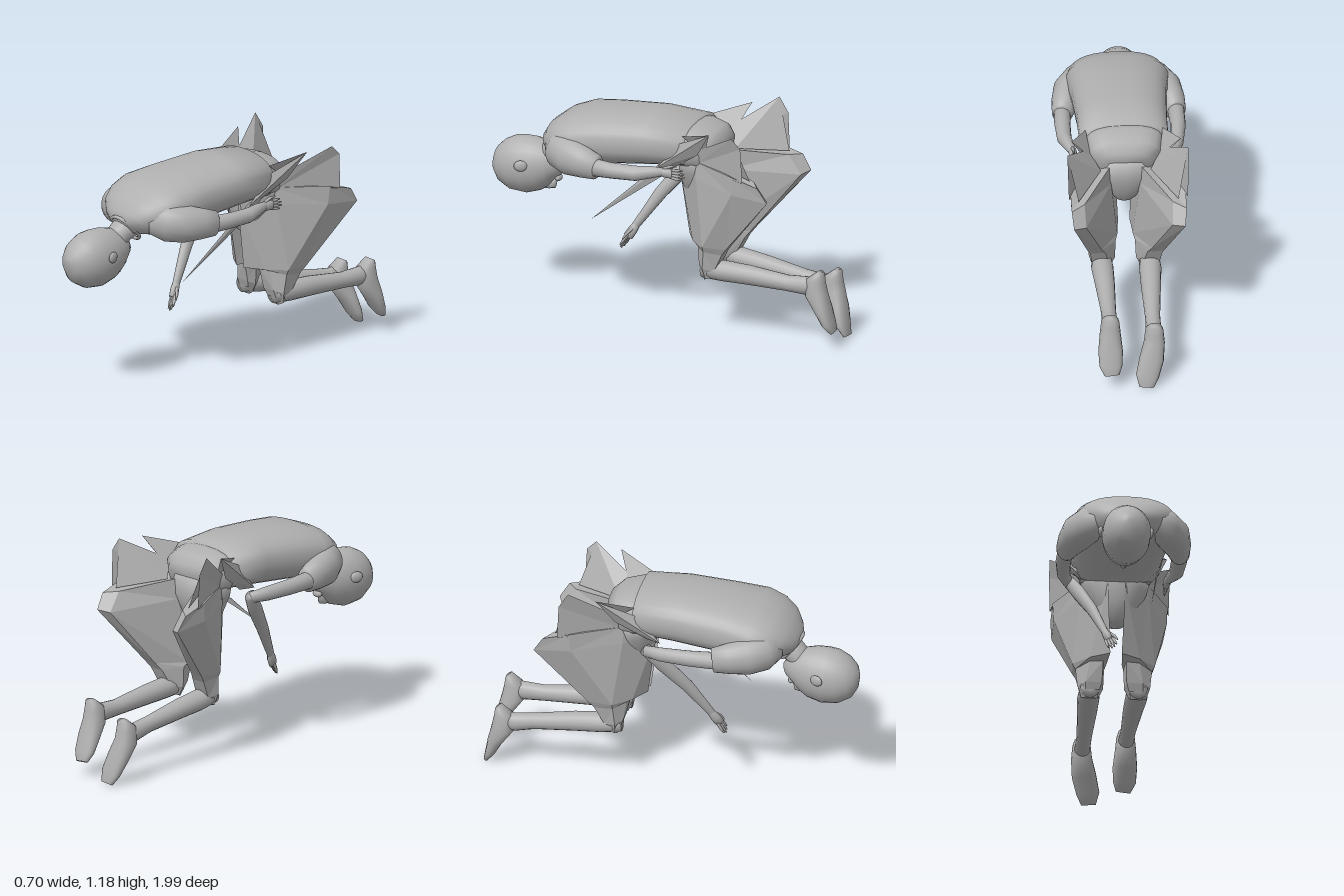
import * as THREE from 'three';

const grey = new THREE.MeshStandardMaterial({ color: 0xb0b0b0, side: THREE.DoubleSide });
grey.name = 'plain grey';

function addMesh(parent, name, geometry) {
  const mesh = new THREE.Mesh(geometry, grey);
  mesh.name = name;
  parent.add(mesh);
  return mesh;
}

// Smooth body through sections [x, y, z, halfWidth, halfHeight]; a power below 1 is boxier
function loft(sections, sides = 20, power = 1) {
  const pos = [], idx = [];
  const centres = sections.map((s) => new THREE.Vector3(s[0], s[1], s[2]));
  const n = sections.length;
  const bend = (v) => Math.sign(v) * Math.abs(v) ** power;
  sections.forEach((s, k) => {
    const t = centres[Math.min(k + 1, n - 1)].clone().sub(centres[Math.max(k - 1, 0)]).normalize();
    const u = new THREE.Vector3(1, 0, 0).addScaledVector(t, -t.x).normalize();
    const v = t.clone().cross(u);
    for (let i = 0; i < sides; i++) {
      const a = (i / sides) * Math.PI * 2;
      const p = centres[k].clone().addScaledVector(u, bend(Math.cos(a)) * s[3]).addScaledVector(v, bend(Math.sin(a)) * s[4]);
      pos.push(p.x, p.y, p.z);
    }
  });
  for (let k = 0; k < n - 1; k++) {
    for (let i = 0; i < sides; i++) {
      const a = k * sides + i, b = k * sides + ((i + 1) % sides);
      idx.push(a, b, b + sides, a, b + sides, a + sides);
    }
  }
  const first = n * sides, last = first + 1;
  pos.push(...centres[0].toArray(), ...centres[n - 1].toArray());
  for (let i = 0; i < sides; i++) {
    const j = (i + 1) % sides, o = (n - 1) * sides;
    idx.push(first, j, i, last, o + i, o + j);
  }
  const g = new THREE.BufferGeometry();
  g.setAttribute('position', new THREE.Float32BufferAttribute(pos, 3));
  g.setIndex(idx);
  g.computeVertexNormals();
  return g;
}

// Faceted solid through rings of matching corners, closed at both ends
function faceted(rings) {
  const pos = [];
  const tri = (...p) => p.forEach((q) => pos.push(...q));
  for (let k = 0; k < rings.length - 1; k++) {
    const a = rings[k], b = rings[k + 1];
    a.forEach((_, i) => {
      const j = (i + 1) % a.length;
      tri(a[i], a[j], b[j]);
      tri(a[i], b[j], b[i]);
    });
  }
  const fan = (r) => { for (let i = 1; i < r.length - 1; i++) tri(r[0], r[i], r[i + 1]); };
  fan(rings[0]);
  if (rings.length > 1) fan(rings[rings.length - 1]);
  const g = new THREE.BufferGeometry();
  g.setAttribute('position', new THREE.Float32BufferAttribute(pos, 3));
  g.computeVertexNormals();
  return g;
}
const panel = (points) => faceted([points]);
const mirror = (points, s) => points.map(([x, y, z]) => [x * s, y, z]);

// Palm with four fingers and a thumb, from wrist along a direction
function addHand(parent, name, wrist, direction, across) {
  const group = new THREE.Group();
  group.name = name;
  const w = new THREE.Vector3(...wrist), d = new THREE.Vector3(...direction).normalize();
  const a = new THREE.Vector3(...across);
  const at = (along, side, rx, ry) => [...w.clone().addScaledVector(d, along).addScaledVector(a, side).toArray(), rx, ry];
  addMesh(group, 'palm', loft([at(-0.02, 0, 0.017, 0.019), at(0.03, 0, 0.022, 0.026), at(0.07, 0, 0.018, 0.026)], 10));
  for (let i = 0; i < 4; i++) {
    const s = (i - 1.5) * 0.014, len = 0.145 - Math.abs(i - 1.3) * 0.012;
    addMesh(group, 'finger', loft([at(0.06, s, 0.008, 0.008), at(0.1, s * 1.2, 0.008, 0.008), at(len, s * 1.3, 0.004, 0.004)], 6));
  }
  addMesh(group, 'thumb', loft([at(0.02, 0.02, 0.01, 0.01), at(0.06, 0.042, 0.008, 0.008), at(0.09, 0.046, 0.004, 0.004)], 6));
  parent.add(group);
}

function addHead(root) {
  const head = new THREE.Group();
  head.name = 'head';
  addMesh(head, 'skull', loft([
    [-0.03, 0.72, 1.0, 0.02, 0.02], [-0.03, 0.72, 0.985, 0.065, 0.07], [-0.03, 0.715, 0.95, 0.1, 0.115],
    [-0.03, 0.71, 0.89, 0.124, 0.147], [-0.03, 0.71, 0.82, 0.127, 0.155], [-0.03, 0.722, 0.75, 0.118, 0.143],
    [-0.03, 0.73, 0.69, 0.098, 0.116], [-0.03, 0.728, 0.645, 0.072, 0.082], [-0.03, 0.715, 0.61, 0.035, 0.04],
  ], 28));
  for (const s of [-1, 1]) {
    const ear = addMesh(head, 'ear', new THREE.SphereGeometry(1, 12, 8));
    ear.scale.set(0.014, 0.03, 0.036);
    ear.position.set(-0.03 + s * 0.127, 0.738, 0.8);
    ear.rotation.y = s * 0.35;
    const eye = addMesh(head, 'eye', new THREE.SphereGeometry(0.014, 10, 8));
    eye.position.set(-0.03 + s * 0.042, 0.606, 0.735);
  }
  addMesh(head, 'nose', loft([[-0.03, 0.602, 0.74, 0.009, 0.012], [-0.03, 0.61, 0.7, 0.014, 0.022], [-0.03, 0.62, 0.672, 0.02, 0.028], [-0.03, 0.645, 0.655, 0.012, 0.012]], 8));
  const lips = addMesh(head, 'lips', new THREE.SphereGeometry(1, 10, 8));
  lips.scale.set(0.03, 0.02, 0.018);
  lips.position.set(-0.03, 0.658, 0.638);
  addMesh(head, 'neck', loft([[-0.03, 0.75, 0.72, 0.07, 0.065], [-0.02, 0.82, 0.655, 0.068, 0.062], [0, 0.89, 0.57, 0.085, 0.075]], 18));
  root.add(head);
}

function addLeg(root, s) {
  const leg = new THREE.Group();
  leg.name = s > 0 ? 'leftLeg' : 'rightLeg';
  // Stiff trouser leg, a wedge running diagonally outwards to the back
  addMesh(leg, 'trouserLeg', faceted([
    mirror([[0.05, 0.94, -0.1], [0.17, 0.93, -0.23], [0.3, 0.92, -0.49], [0.3, 0.88, -0.63], [0.23, 0.89, -0.58], [0.08, 0.93, -0.3]], s),
    mirror([[0.045, 0.84, -0.08], [0.18, 0.84, -0.23], [0.295, 0.82, -0.48], [0.29, 0.8, -0.68], [0.225, 0.79, -0.65], [0.075, 0.82, -0.3]], s),
    mirror([[0.03, 0.48, -0.13], [0.13, 0.48, -0.19], [0.215, 0.48, -0.28], [0.205, 0.48, -0.41], [0.13, 0.48, -0.41], [0.04, 0.47, -0.25]], s),
    mirror([[0.06, 0.47, -0.21], [0.13, 0.47, -0.22], [0.2, 0.45, -0.28], [0.19, 0.44, -0.38], [0.11, 0.44, -0.38], [0.05, 0.45, -0.28]], s),
    mirror([[0.065, 0.36, -0.235], [0.15, 0.36, -0.235], [0.19, 0.35, -0.27], [0.175, 0.34, -0.33], [0.09, 0.34, -0.33], [0.055, 0.34, -0.28]], s),
    mirror([[0.09, 0.28, -0.265], [0.15, 0.28, -0.265], [0.17, 0.29, -0.28], [0.16, 0.3, -0.31], [0.09, 0.3, -0.31], [0.08, 0.29, -0.28]], s),
  ]));
  // Cloth points standing up at the outer side
  const tip = [0.315, s > 0 ? 1.14 : 1.17, -0.49];
  addMesh(leg, 'outerClothPoint', panel(mirror([[0.17, 0.92, -0.23], [0.19, 1.0, -0.24], tip, [0.315, 1.09, -0.54], [0.31, 0.9, -0.55], [0.3, 0.91, -0.49]], s)));
  addMesh(leg, 'innerClothPoint', panel(mirror([tip, [0.19, 1.0, -0.24], [0.13, 0.92, -0.32], [0.26, 0.9, -0.57]], s)));
  addMesh(leg, 'hipCloth', panel(mirror([[0.21, 0.88, -0.02], [0.22, 1.03, -0.14], [0.285, 1.13, -0.35], [0.23, 0.99, -0.26], [0.18, 0.88, -0.1]], s)));
  addMesh(leg, 'hipClothFold', panel(mirror([[0.285, 1.13, -0.35], [0.2, 1.07, -0.16], [0.18, 0.98, -0.28]], s)));
  // Shin and foot
  const d = s > 0 ? 0 : -0.06;
  addMesh(leg, 'shin', loft([
    [s * 0.125, 0.335, -0.25, 0.05, 0.05], [s * 0.125, 0.335 + d * 0.2, -0.36, 0.058, 0.055], [s * 0.12, 0.33 + d * 0.4, -0.5, 0.052, 0.052],
    [s * 0.115, 0.315 + d * 0.7, -0.72, 0.04, 0.043], [s * 0.115, 0.315 + d, -0.82, 0.04, 0.049], [s * 0.115, 0.32 + d, -0.89, 0.042, 0.05],
  ], 16));
  const lean = s > 0 ? 0 : 0.04;
  addMesh(leg, 'foot', loft([
    [s * 0.115, 0.395 + d, -0.91, 0.035, 0.018], [s * 0.115, 0.35 + d, -0.885, 0.048, 0.05], [s * 0.115, 0.28 + d, -0.885, 0.055, 0.06],
    [s * 0.115 + lean * 0.4, 0.2 + d, -0.925, 0.064, 0.042], [s * 0.115 + lean, 0.125 + d * 1.2, -0.957, 0.06, 0.028], [s * 0.11 + lean, 0.08 + d * 1.33, -0.982, 0.038, 0.014],
  ], 16, 0.85));
  root.add(leg);
}

export function createModel() {
  const root = new THREE.Group();
  root.name = 'crouchingFigure';
  addHead(root);

  // Shirt, collar and pelvis
  addMesh(root, 'shirt', loft([
    [0, 0.86, 0.66, 0.085, 0.05], [0, 0.88, 0.635, 0.15, 0.075], [0, 0.905, 0.59, 0.215, 0.108], [0, 0.93, 0.53, 0.252, 0.13],
    [0, 0.95, 0.45, 0.27, 0.143], [0, 0.97, 0.3, 0.25, 0.143], [0, 0.992, 0.05, 0.236, 0.139], [0, 0.995, -0.17, 0.232, 0.118],
  ], 32, 0.82));
  const collar = addMesh(root, 'collar', new THREE.TorusGeometry(0.085, 0.01, 8, 24));
  collar.position.set(0, 0.845, 0.635);
  collar.rotation.x = 0.7;
  addMesh(root, 'pelvis', loft([[0, 0.985, -0.1, 0.21, 0.11], [0, 0.98, -0.18, 0.205, 0.118], [0, 0.965, -0.26, 0.185, 0.11], [0, 0.95, -0.31, 0.13, 0.085]], 20, 0.75));
  addMesh(root, 'crotch', loft([[0, 0.96, -0.2, 0.19, 0.12], [0, 0.85, -0.2, 0.165, 0.12], [0, 0.75, -0.19, 0.115, 0.095], [0, 0.67, -0.18, 0.05, 0.05]], 16, 0.85));

  for (const s of [-1, 1]) {
    addMesh(root, s > 0 ? 'leftSleeve' : 'rightSleeve', loft([
      [s * 0.14, 0.905, 0.58, 0.06, 0.07], [s * 0.2, 0.9, 0.53, 0.085, 0.1], [s * 0.25, 0.89, 0.45, 0.088, 0.1],
      [s * 0.28, 0.88, 0.36, 0.07, 0.083], [s * 0.297, 0.87, 0.28, 0.053, 0.067],
    ], 20));
    addLeg(root, s);
  }

  // Left arm reaches back along the body, right arm bends forward and down
  addMesh(root, 'leftArm', loft([
    [0.295, 0.868, 0.32, 0.045, 0.048], [0.3, 0.865, 0.2, 0.042, 0.042], [0.298, 0.868, 0.06, 0.038, 0.04],
    [0.28, 0.88, -0.02, 0.028, 0.032], [0.265, 0.885, -0.08, 0.018, 0.022],
  ], 14));
  addHand(root, 'leftHand', [0.265, 0.885, -0.06], [-0.06, -0.08, -1], [0, 0.95, -0.1]);
  addMesh(root, 'rightUpperArm', loft([
    [-0.295, 0.868, 0.32, 0.045, 0.048], [-0.3, 0.865, 0.15, 0.04, 0.042], [-0.285, 0.86, 0, 0.034, 0.038], [-0.25, 0.85, -0.09, 0.026, 0.03],
  ], 14));
  addMesh(root, 'rightForearm', loft([
    [-0.25, 0.86, -0.09, 0.028, 0.036], [-0.205, 0.76, -0.01, 0.034, 0.042], [-0.145, 0.61, 0.11, 0.028, 0.034], [-0.09, 0.435, 0.225, 0.018, 0.021],
  ], 14));
  addHand(root, 'rightHand', [-0.089, 0.43, 0.228], [0.28, -0.85, 0.5], [0.8, 0.3, 0.1]);

  // Long loose strip of cloth hanging forward
  addMesh(root, 'looseClothStrip', panel([[0.14, 0.52, 0.38], [0.2, 0.89, -0.02], [0.22, 0.95, -0.12], [0.2, 0.86, -0.08]]));
  return root;
}
